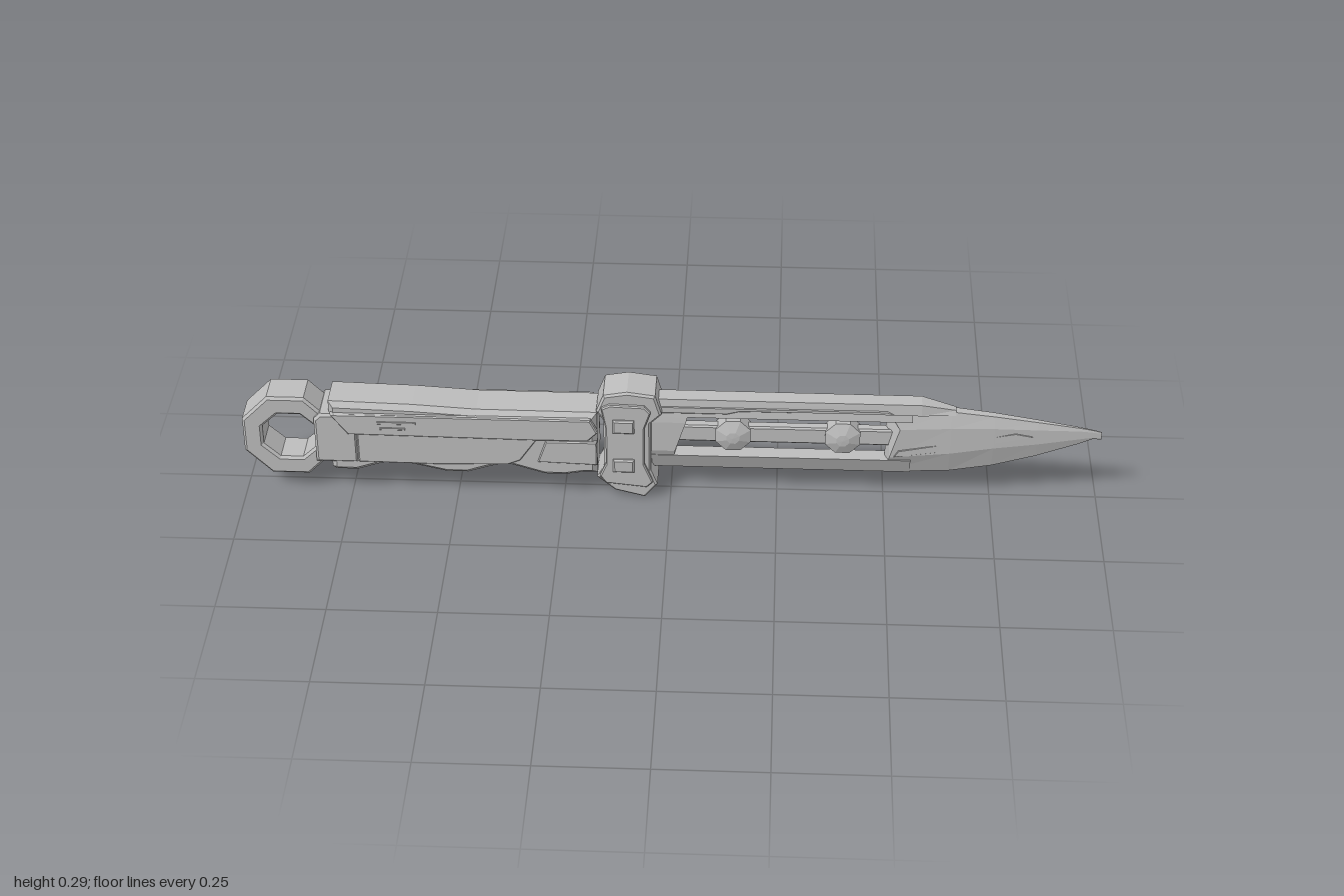
import * as THREE from 'three';

const steel = new THREE.MeshStandardMaterial({ color: 0xbcbcbc });
steel.name = 'steel grey';

// Flat plate from an outline, centred on z, with bevelled rims
function plate(name, pts, half, bevel = 0.006, hole = null, z = 0) {
  const shape = new THREE.Shape(pts.map(p => new THREE.Vector2(...p)));
  if (hole) shape.holes.push(new THREE.Path(hole.map(p => new THREE.Vector2(...p))));
  const geo = new THREE.ExtrudeGeometry(shape, {
    depth: 2 * (half - bevel), bevelEnabled: true, bevelSize: bevel,
    bevelOffset: -bevel, bevelThickness: bevel, bevelSegments: 1,
  });
  geo.translate(0, 0, z - half + bevel);
  const mesh = new THREE.Mesh(geo, steel);
  mesh.name = name;
  return mesh;
}

// Solid through matching rings of [x, y, z], listed from -x to +x
function loft(name, rings) {
  const n = rings[0].length, pos = [];
  const tri = (a, b, c) => pos.push(...a, ...b, ...c);
  for (let i = 0; i < rings.length - 1; i++) {
    for (let j = 0; j < n; j++) {
      const k = (j + 1) % n, A = rings[i], B = rings[i + 1];
      tri(A[j], B[j], B[k]);
      tri(A[j], B[k], A[k]);
    }
  }
  const a = rings[0], b = rings[rings.length - 1];
  for (let j = 1; j < n - 1; j++) {
    tri(a[0], a[j], a[j + 1]);
    tri(b[0], b[j + 1], b[j]);
  }
  const geo = new THREE.BufferGeometry();
  geo.setAttribute('position', new THREE.Float32BufferAttribute(pos, 3));
  geo.computeVertexNormals();
  const mesh = new THREE.Mesh(geo, steel);
  mesh.name = name;
  return mesh;
}

// Symmetric ring from a half profile of [x, y, halfWidth], top to bottom
const ring = half => [
  ...half.map(([x, y, w]) => [x, y, -w]),
  ...[...half].reverse().map(([x, y, w]) => [x, y, w]),
];

const rect = (x, y, w, h) => [[x - w / 2, y - h / 2], [x + w / 2, y - h / 2], [x + w / 2, y + h / 2], [x - w / 2, y + h / 2]];

// Octagon with flat sides up
const octagon = (cx, cy, rx, ry) => Array.from({ length: 8 }, (_, i) => {
  const a = (i + 0.5) * Math.PI / 4, k = 1 / Math.cos(Math.PI / 8);
  return [cx + rx * k * Math.cos(a), cy + ry * k * Math.sin(a)];
});

export function createModel() {
  const model = new THREE.Group();
  model.name = 'combatKnife';

  // Pommel ring and neck
  model.add(plate('pommelRing', octagon(-0.895, 0.148, 0.105, 0.107), 0.043, 0.006,
    octagon(-0.89, 0.148, 0.064, 0.06)));
  model.add(plate('pommelNeck', [[-0.83, 0.085], [-0.73, 0.085], [-0.73, 0.22], [-0.815, 0.22], [-0.83, 0.205]], 0.055));

  // Grip with finger waves along the underside
  const grip = [[-0.17, 0.235], [-0.45, 0.236], [-0.6, 0.245], [-0.795, 0.25], [-0.795, 0.065]];
  for (const x of [-0.76, -0.5, -0.27]) {
    grip.push([x - 0.025, 0.058], [x + 0.025, 0.058], [x + 0.075, 0.075], [x + 0.115, 0.086]);
  }
  grip.splice(-2, 2, [-0.2, 0.066], [-0.17, 0.066]);
  model.add(plate('grip', grip, 0.052, 0.012));

  // Guard
  model.add(plate('guard', [[-0.172, 0.24], [-0.155, 0.285], [-0.1, 0.295], [-0.035, 0.286], [-0.02, 0.235],
    [-0.045, 0.21], [-0.045, 0.075], [-0.03, 0.037], [-0.06, 0], [-0.13, 0.018], [-0.172, 0.055],
    [-0.155, 0.085], [-0.155, 0.215]], 0.047, 0.005));

  // Side details, mirrored front and back
  for (const s of [1, -1]) {
    const side = new THREE.Group();
    side.name = s > 0 ? 'frontDetails' : 'backDetails';
    const add = (name, pts, z, h, bevel = 0.003) => side.add(plate(name, pts, h, bevel, null, s * z));
    add('gripUpperPanel', [[-0.79, 0.225], [-0.75, 0.17], [-0.3, 0.165], [-0.19, 0.168], [-0.168, 0.19], [-0.185, 0.225]], 0.054, 0.008);
    add('gripLowerPanel', [[-0.73, 0.18], [-0.73, 0.09], [-0.55, 0.088], [-0.38, 0.092], [-0.35, 0.105], [-0.3, 0.18]], 0.051, 0.007);
    add('gripFrontPanel', [[-0.29, 0.16], [-0.17, 0.16], [-0.17, 0.095], [-0.31, 0.1]], 0.05, 0.006);
    add('guardPlate', [[-0.16, 0.255], [-0.14, 0.265], [-0.06, 0.262], [-0.045, 0.245], [-0.06, 0.2], [-0.06, 0.1],
      [-0.04, 0.05], [-0.055, 0.035], [-0.15, 0.045], [-0.165, 0.065], [-0.15, 0.1], [-0.15, 0.2]], 0.049, 0.007);
    for (const y of [0.208, 0.098]) add('guardStud', rect(-0.108, y, 0.05, 0.036), 0.056, 0.007, 0.004);
    add('gripRib', rect(-0.635, 0.206, 0.09, 0.007), 0.061, 0.003, 0.001);
    add('gripRib', rect(-0.645, 0.19, 0.06, 0.006), 0.061, 0.003, 0.001);
    // Raised strips on the spine and tip
    add('spineStrip', [[-0.04, 0.246], [0.5, 0.246], [0.52, 0.236], [0.16, 0.234], [0.13, 0.226], [-0.04, 0.226]], 0.02, 0.005);
    const accent = plate('tipAccent', [[0, 0.118], [0.01, 0.135], [0.28, 0.186], [0.32, 0.177], [0.23, 0.158], [0.13, 0.136]], 0.004, 0.001);
    accent.position.set(0.52, 0, s * 0.0215);
    accent.rotation.y = s * 0.033;
    side.add(accent);
    model.add(side);
  }

  // Blade root, bars around the slot, and the solid tip
  model.add(loft('bladeRoot', [
    ring([[-0.06, 0.24, 0.018], [-0.06, 0.2, 0.024], [-0.06, 0.12, 0.024], [-0.06, 0.06, 0.001]]),
    ring([[0.045, 0.24, 0.018], [0.035, 0.2, 0.024], [0.01, 0.12, 0.024], [0, 0.06, 0.001]]),
  ]));
  model.add(loft('upperBar', [-0.05, 0.56].map(x => ring([[x, 0.247, 0.018], [x, 0.215, 0.023]]))));
  model.add(loft('cuttingBar', [-0.05, 0.56].map(x => ring([[x, 0.105, 0.02], [x, 0.06, 0.001]]))));
  const tip = [ // x, top, shoulder, belly, edge, half width
    [0.65, 0.24, 0.2, 0.13, 0.067, 0.022],
    [0.75, 0.228, 0.2, 0.145, 0.085, 0.018],
    [0.85, 0.213, 0.195, 0.155, 0.115, 0.012],
    [0.95, 0.197, 0.19, 0.168, 0.153, 0.005],
    [0.98, 0.191, 0.186, 0.172, 0.167, 0.003],
    [1, 0.186, 0.182, 0.17, 0.166, 0.0015],
  ].map(([x, t, a, b, e, w]) => ring([[x, t, w * 0.5], [x, a, w], [x, b, w], [x, e, 0.0008]]));
  model.add(loft('bladeTip', [
    ring([[0.5, 0.242, 0.012], [0.532, 0.195, 0.024], [0.51, 0.115, 0.022], [0.5, 0.06, 0.001]]), ...tip]));

  // Spine rail tapering into the tip
  model.add(loft('spineRail', [
    ring([[-0.04, 0.263, 0.02], [-0.04, 0.24, 0.024]]),
    ring([[0.58, 0.262, 0.02], [0.58, 0.235, 0.024]]),
    ring([[0.66, 0.243, 0.008], [0.66, 0.232, 0.014]]),
  ]));

  // Rod through the slot with two faceted octagonal hubs
  model.add(plate('slotRod', rect(0.27, 0.163, 0.56, 0.044), 0.013, 0.004));
  const profile = [[0, -0.03], [0.016, -0.029], [0.044, -0.018], [0.044, 0.018], [0.016, 0.029], [0, 0.03]];
  const lathe = new THREE.LatheGeometry(profile.map(p => new THREE.Vector2(...p)), 8, Math.PI / 8);
  const hubGeo = lathe.toNonIndexed().rotateX(Math.PI / 2);
  hubGeo.computeVertexNormals();
  for (const x of [0.145, 0.4]) {
    const hub = new THREE.Mesh(hubGeo, steel);
    hub.name = 'slotHub';
    hub.position.set(x, 0.163, 0);
    model.add(hub);
  }
  return model;
}
